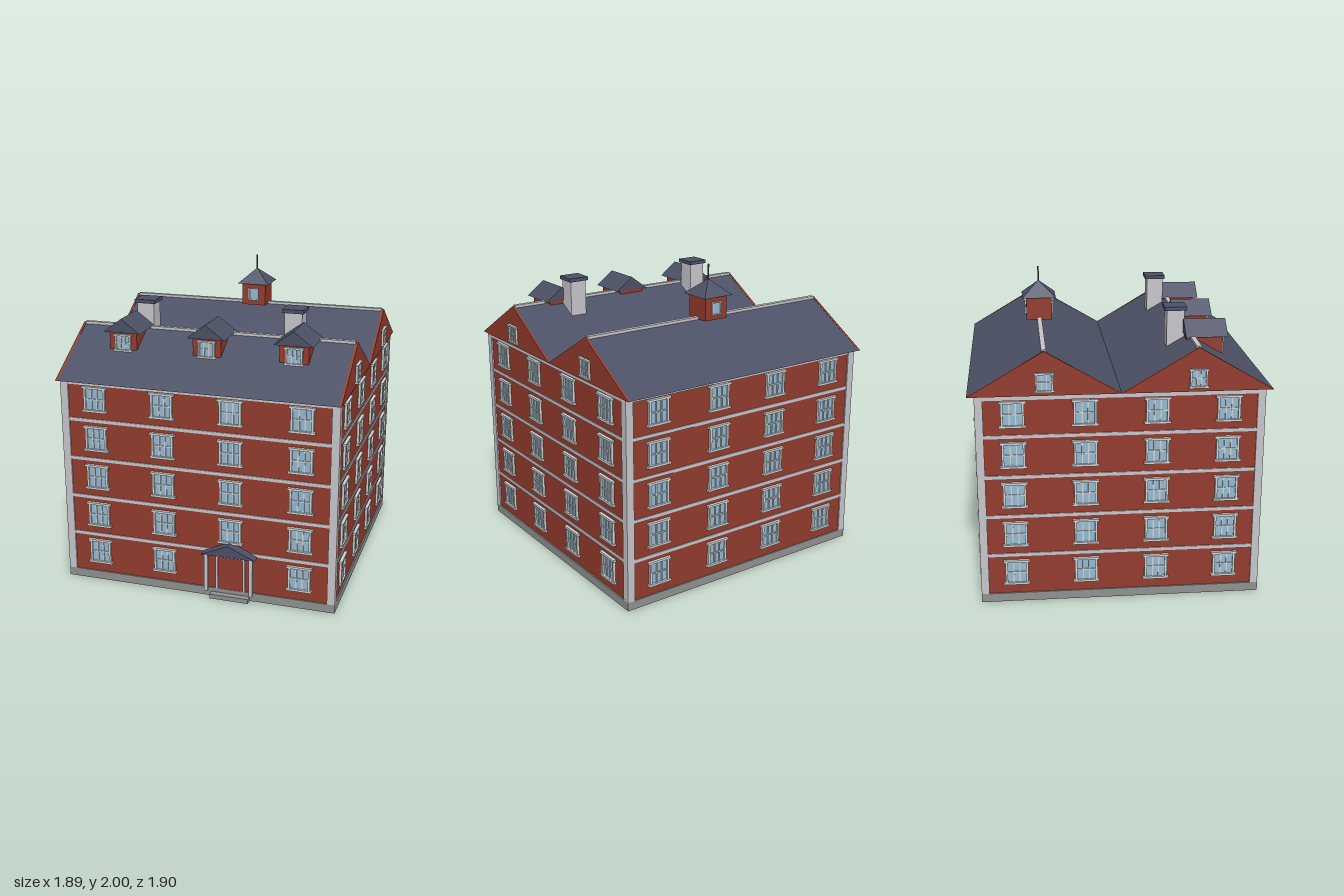
import * as THREE from 'three';
import { mergeGeometries } from 'three/addons/utils/BufferGeometryUtils.js';

const mat = (name, color) => {
  const m = new THREE.MeshStandardMaterial({ color });
  m.name = name;
  return m;
};

// box given by its centre and size
const boxGeo = (x, y, z, w, h, d) => new THREE.BoxGeometry(w, h, d).translate(x, y, z);

// triangular prism: base on y = 0, ridge along z, centred on z
function prismGeo(halfWidth, height, depth) {
  const s = new THREE.Shape();
  s.moveTo(-halfWidth, 0);
  s.lineTo(halfWidth, 0);
  s.lineTo(0, height);
  s.closePath();
  return new THREE.ExtrudeGeometry(s, { depth, bevelEnabled: false }).translate(0, 0, -depth / 2);
}

// window frame facing +z with a wider lintel and sill, and glazing bars
function windowGeos(w, h, depth, cols = 3, rows = 2) {
  const t = w * 0.1, bar = w * 0.055;
  const parts = [
    boxGeo(0, h / 2 - t / 2, depth / 2, w * 1.16, t, depth),
    boxGeo(0, -h / 2 + t / 2, depth / 2, w * 1.16, t, depth),
    boxGeo(-w / 2 + t / 2, 0, depth * 0.4, t, h - 2 * t, depth * 0.8),
    boxGeo(w / 2 - t / 2, 0, depth * 0.4, t, h - 2 * t, depth * 0.8),
  ];
  const iw = w - 2 * t, ih = h - 2 * t;
  for (let i = 1; i < cols; i++)
    parts.push(boxGeo(-iw / 2 + (iw * i) / cols, 0, depth * 0.3, bar, ih, depth * 0.6));
  for (let j = 1; j < rows; j++)
    parts.push(boxGeo(0, -ih / 2 + (ih * j) / rows, depth * 0.3, iw, bar, depth * 0.58));
  return { frame: mergeGeometries(parts), glass: boxGeo(0, 0, 0.002, iw, ih, 0.006) };
}

export function createModel() {
  const brick = mat('brick', 0x933b2d);
  const slate = mat('slate', 0x4b5065);
  const trim = mat('light trim', 0xc6c5cb);
  const frameMat = mat('window frame', 0xced2d2);
  const stone = mat('base stone', 0x8f9190);
  const glassMat = mat('glass', 0x93b9d2);

  const model = new THREE.Group();
  const house = new THREE.Group();
  house.name = 'house';
  house.position.z = -0.008;
  model.add(house);

  const add = (name, geo, material, x = 0, y = 0, z = 0, ry = 0) => {
    const m = new THREE.Mesh(geo, material);
    m.name = name;
    m.position.set(x, y, z);
    m.rotation.y = ry;
    house.add(m);
    return m;
  };
  const box = (name, material, x, y, z, w, h, d) => add(name, new THREE.BoxGeometry(w, h, d), material, x, y, z);
  const addWindow = (name, geos, x, y, z, ry = 0) => {
    add(name + 'Frame', geos.frame, frameMat, x, y, z, ry);
    add(name + 'Glass', geos.glass, glassMat, x, y, z, ry);
  };

  // outer half sizes and wall heights
  const HX = 0.914, HZ = 0.897, WX = 0.905, WZ = 0.888;
  const Y0 = 0.057, Y1 = 1.385, storey = 0.2655;

  // base, walls, corner pilasters, storey bands
  box('base', stone, 0, Y0 / 2, 0, HX * 2, Y0, HZ * 2);
  box('walls', brick, 0, (Y0 + Y1) / 2, 0, WX * 2, Y1 - Y0, WZ * 2);
  for (const sx of [-1, 1])
    for (const sz of [-1, 1])
      box('cornerPilaster', trim, sx * (HX - 0.026), (Y0 + Y1) / 2, sz * (HZ - 0.025), 0.052, Y1 - Y0, 0.05);
  for (let i = 0; i < 4; i++)
    box('storeyBand', trim, 0, 0.325 + i * storey, 0, HX * 2 - 0.006, 0.022, HZ * 2 - 0.006);
  box('corniceBand', trim, 0, Y1 - 0.014, 0, HX * 2 - 0.006, 0.028, HZ * 2 - 0.006);

  // wall windows: five storeys, four on each side; the door takes one place
  const wallWin = windowGeos(0.145, 0.17, 0.02);
  const DX = 0.225;
  for (let i = 0; i < 5; i++) {
    const y = 0.205 + i * storey;
    for (const x of [-0.68, -DX, DX, 0.68]) {
      if (!(i === 0 && x === DX)) addWindow('frontWindow', wallWin, x, y, WZ);
      addWindow('backWindow', wallWin, x, y, -WZ, Math.PI);
    }
    for (const z of [-0.668, -0.224, 0.224, 0.668]) {
      addWindow('leftWindow', wallWin, WX, y, z, Math.PI / 2);
      addWindow('rightWindow', wallWin, -WX, y, z, -Math.PI / 2);
    }
  }

  // twin gabled roofs with brick gable ends and ridge caps
  const RH = 0.275, RW = 0.471;
  const roofGeo = prismGeo(RW, RH, 1.82);
  const gableGeo = prismGeo(RW, RH + 0.003, 0.016);
  const gableWin = windowGeos(0.108, 0.122, 0.02);
  for (const z of [-RW, RW]) {
    add('roof', roofGeo, slate, 0, Y1, z, Math.PI / 2);
    box('ridgeCap', trim, 0, Y1 + RH - 0.002, z, 1.82, 0.022, 0.03);
    for (const s of [-1, 1]) {
      add('gableEnd', gableGeo, brick, s * 0.917, Y1, z, Math.PI / 2);
      addWindow('gableWindow', gableWin, s * 0.923, 1.47, z, (s * Math.PI) / 2);
    }
  }

  // dormers on the front slope
  const dormerWin = windowGeos(0.108, 0.112, 0.018);
  const dormerRoof = prismGeo(0.125, 0.092, 0.267);
  for (const x of [-0.566, 0, 0.566]) {
    box('dormerBody', brick, x, 1.602, 0.55, 0.186, 0.126, 0.23);
    add('dormerRoof', dormerRoof, slate, x, 1.663, 0.56);
    addWindow('dormerWindow', dormerWin, x, 1.593, 0.665);
  }

  // chimneys behind the front ridge
  for (const s of [-1, 1]) {
    box('chimney', trim, s * 0.499, 1.66, 0.379, 0.115, 0.3, 0.113);
    box('chimneyCap', slate, s * 0.499, 1.82, 0.379, 0.14, 0.024, 0.14);
  }

  // cupola with pyramid roof and spire on the back ridge
  box('cupolaBody', brick, 0, 1.73, -RW, 0.17, 0.155, 0.17);
  const pyramid = new THREE.ConeGeometry(0.112 * Math.SQRT2, 0.1, 4, 1).rotateY(Math.PI / 4).toNonIndexed();
  pyramid.computeVertexNormals();
  add('cupolaRoof', pyramid, slate, 0, 1.855, -RW);
  add('spire', new THREE.CylinderGeometry(0.005, 0.005, 0.11, 8), slate, 0, 1.945, -RW);
  const cupolaWin = windowGeos(0.07, 0.085, 0.012, 1, 1);
  addWindow('cupolaWindow', cupolaWin, 0, 1.728, -RW + 0.085);
  addWindow('cupolaWindow', cupolaWin, 0, 1.728, -RW - 0.085, Math.PI);

  // entrance: step, door with surround, posts and gabled canopy
  box('step', stone, DX, 0.015, 0.915, 0.26, 0.03, 0.05);
  box('door', brick, DX, 0.171, WZ + 0.002, 0.17, 0.228, 0.008);
  for (const s of [-1, 1]) {
    box('doorJamb', trim, DX + s * 0.091, 0.178, WZ + 0.008, 0.016, 0.242, 0.016);
    box('porchPost', trim, DX + s * 0.15, 0.186, 0.938, 0.024, 0.26, 0.02);
  }
  box('doorHead', trim, DX, 0.291, WZ + 0.008, 0.198, 0.016, 0.016);
  add('porchRoof', prismGeo(0.18, 0.08, 0.07), slate, DX, 0.315, 0.92);

  return model;
}
